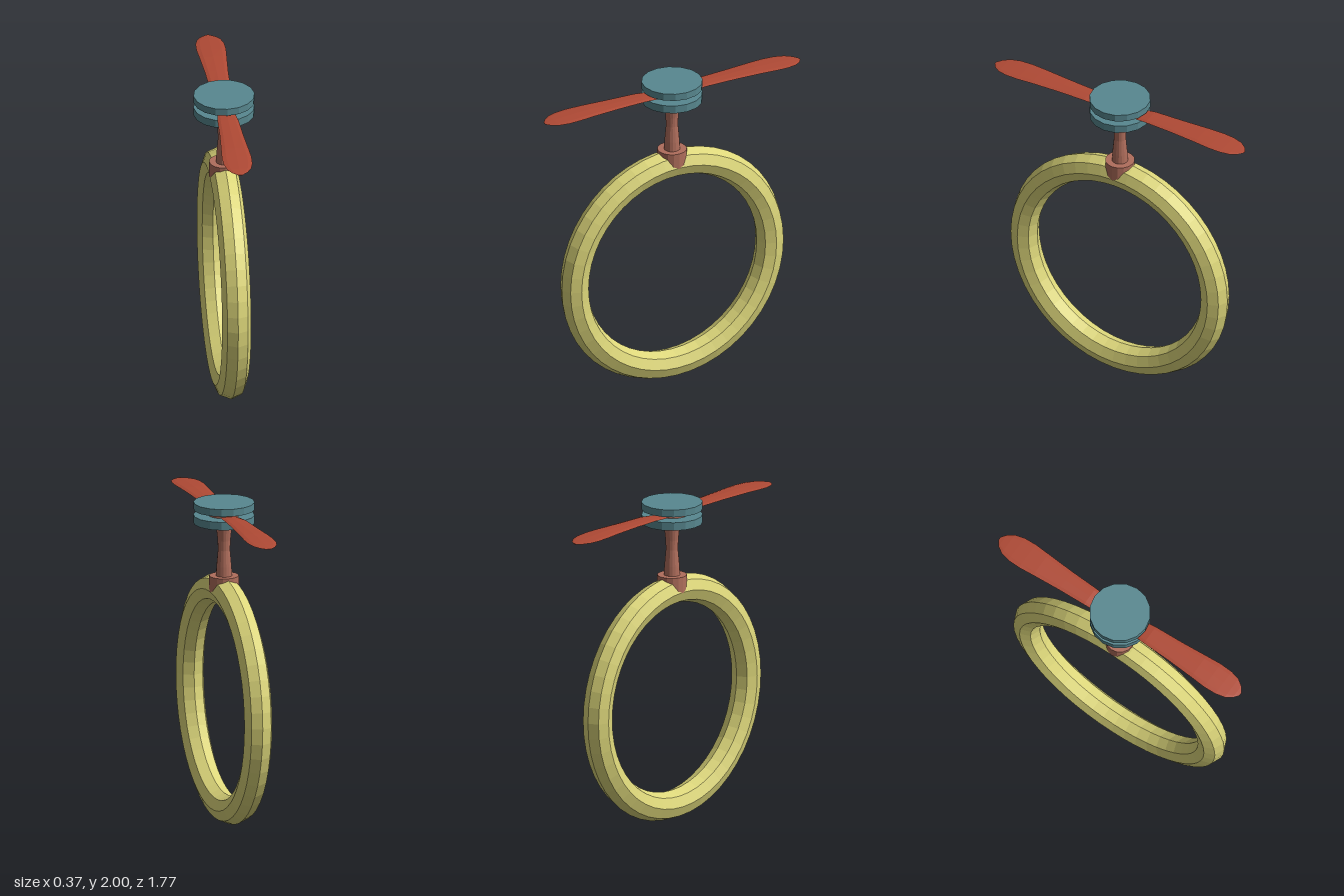
import * as THREE from 'three';

const paint = (color) => new THREE.MeshStandardMaterial({ color, flatShading: true });

function part(group, name, geometry, material) {
  const mesh = new THREE.Mesh(geometry, material);
  mesh.name = name;
  group.add(mesh);
  return mesh;
}

// upright cylinder between two heights
function drum(radius, y0, y1, sides = 16) {
  return new THREE.CylinderGeometry(radius, radius, y1 - y0, sides).translate(0, (y0 + y1) / 2, 0);
}

// thin lens-shaped blade along +z, from stations [z, half width, centre y, half thickness]
function bladeGeometry() {
  const stations = [
    [0.08, 0.05, 1.924, 0.003], [0.14, 0.057, 1.93, 0.006], [0.22, 0.064, 1.937, 0.008],
    [0.4, 0.071, 1.939, 0.008], [0.58, 0.083, 1.94, 0.008], [0.68, 0.09, 1.938, 0.007],
    [0.76, 0.087, 1.935, 0.006], [0.82, 0.072, 1.932, 0.005], [0.86, 0.045, 1.929, 0.004],
    [0.885, 0.012, 1.927, 0.002],
  ];
  const n = 8, pos = [], idx = [];
  for (const [z, w, y, h] of stations) {
    for (let j = 0; j < n; j++) {
      const a = (j / n) * Math.PI * 2;
      pos.push(w * Math.cos(a), y + h * Math.sin(a), z);
    }
  }
  for (let i = 0; i < stations.length - 1; i++) {
    for (let j = 0; j < n; j++) {
      const a = i * n + j, b = i * n + ((j + 1) % n);
      idx.push(a, b, b + n, a, b + n, a + n);
    }
  }
  // end caps
  const last = (stations.length - 1) * n;
  for (let j = 1; j < n - 1; j++) {
    idx.push(0, j + 1, j, last, last + j, last + j + 1);
  }
  const g = new THREE.BufferGeometry();
  g.setAttribute('position', new THREE.Float32BufferAttribute(pos, 3));
  g.setIndex(idx);
  g.computeVertexNormals();
  return g;
}

export function createModel() {
  const model = new THREE.Group();
  model.name = 'ringWithPropeller';
  const yellow = paint(0xdcd67a);
  const brown = paint(0xb06e5c);
  const teal = paint(0x588890);
  const red = paint(0xb04a35);

  // octagonal-section ring standing in the yz plane
  part(model, 'ring',
    new THREE.TorusGeometry(0.677, 0.0885, 8, 48).rotateY(Math.PI / 2).translate(0, 0.7665, 0), yellow);

  // collar sunk into the ring, with a waisted post above
  part(model, 'collar', drum(0.09, 1.44, 1.54), brown);
  const profile = [[0, 1.53], [0.05, 1.53], [0.046, 1.6], [0.037, 1.7], [0.039, 1.76], [0.05, 1.86], [0.05, 1.88], [0, 1.88]]
    .map(([r, y]) => new THREE.Vector2(r, y));
  part(model, 'post', new THREE.LatheGeometry(profile, 16), brown);

  // rotor head: two discs around a hub
  part(model, 'lowerDisc', drum(0.186, 1.87, 1.92), teal);
  part(model, 'hub', drum(0.097, 1.915, 1.96), brown);
  part(model, 'upperDisc', drum(0.186, 1.955, 2), teal);

  // two opposite blades
  const blade = bladeGeometry();
  part(model, 'frontBlade', blade, red);
  part(model, 'backBlade', blade, red).rotation.y = Math.PI;

  return model;
}
